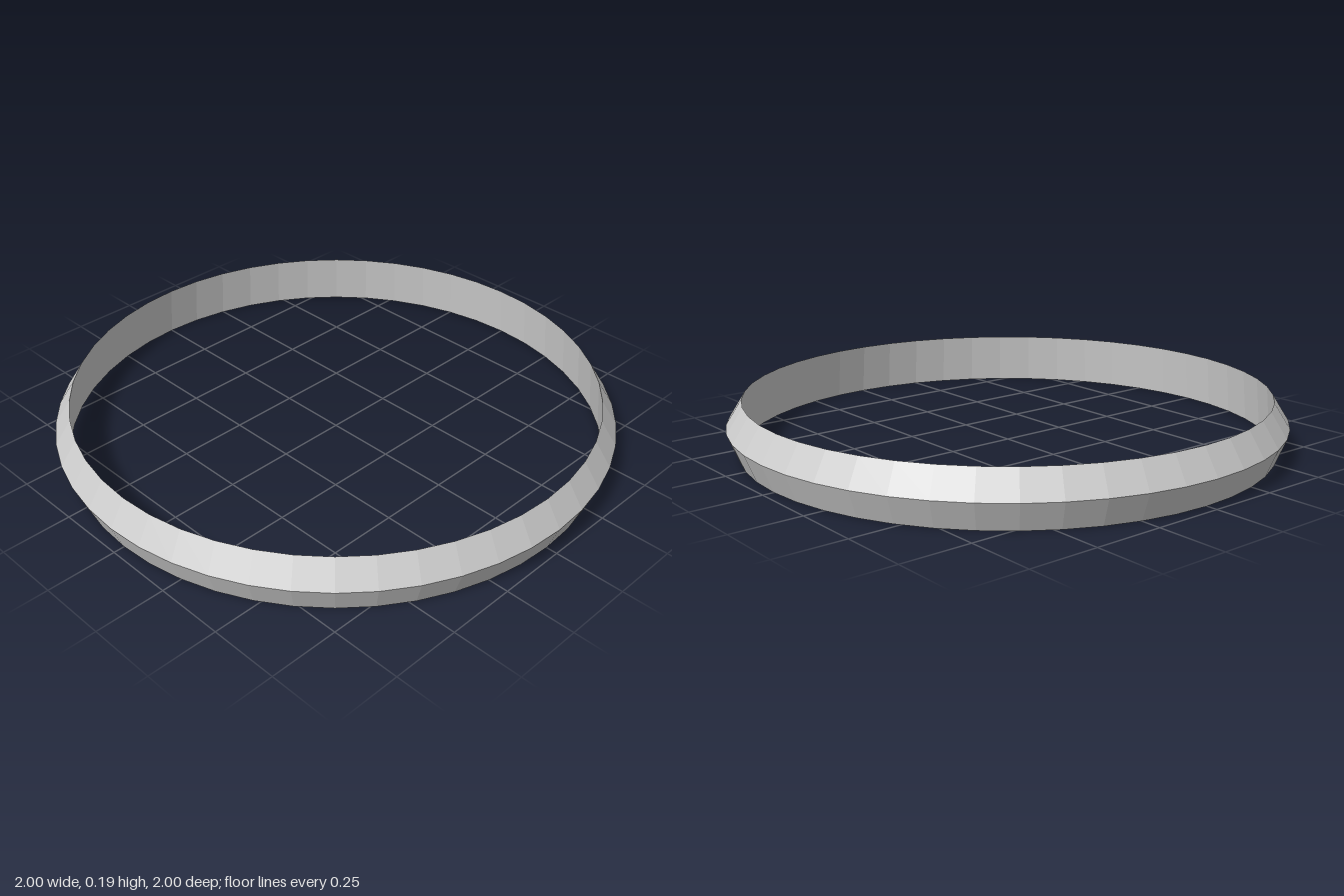
import * as THREE from 'three';

export function createModel() {
  const group = new THREE.Group();
  group.name = 'bangle';

  // Triangular cross-section: bottom rim, outer ridge, top rim, back down the inner wall
  const profile = [[0.96, 0], [1, 0.098], [0.942, 0.19], [0.96, 0]]
    .map(([r, y]) => new THREE.Vector2(r, y));

  const ring = new THREE.Mesh(
    new THREE.LatheGeometry(profile, 48),
    new THREE.MeshStandardMaterial({ color: 0xcccccc, flatShading: true })
  );
  ring.name = 'ring';
  group.add(ring);
  return group;
}
